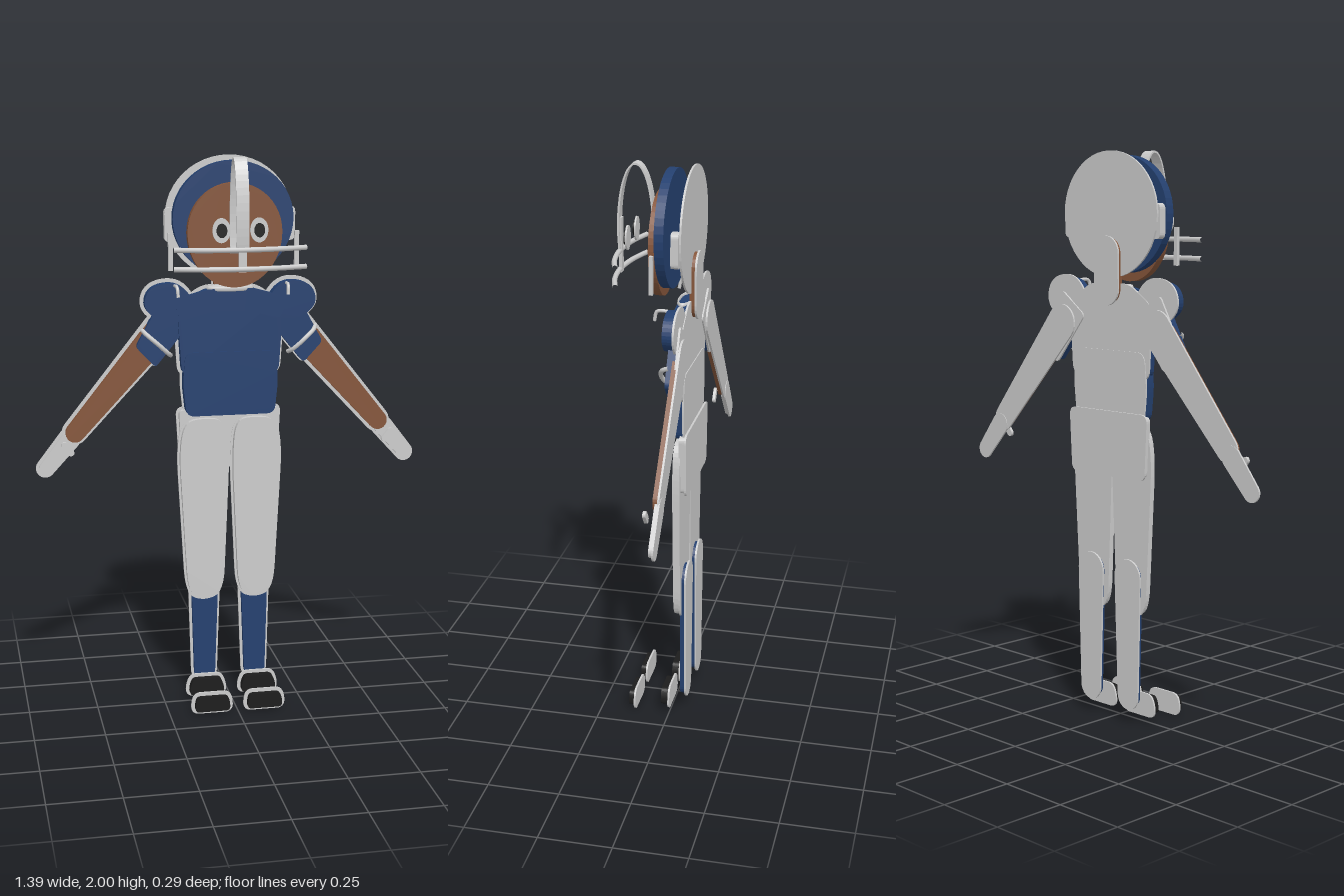
import * as THREE from 'three';

const GREY = 0xcccccc, NAVY = 0x24406f, BROWN = 0x85553a, BLACK = 0x1c1c1c;
const materials = {};
const mat = (c) => (materials[c] ??= new THREE.MeshStandardMaterial({ color: c }));

// Closed outline with corners rounded by r (a large r gives a smooth blob)
function rounded(pts, r) {
  const P = pts.map((p) => new THREE.Vector2(p[0], p[1]));
  if (THREE.ShapeUtils.area(P) < 0) P.reverse();
  const out = [], n = P.length;
  P.forEach((b, i) => {
    const cut = (q) => b.clone().lerp(q, Math.min(0.49, r / b.distanceTo(q)));
    const curve = new THREE.QuadraticBezierCurve(cut(P[(i + n - 1) % n]), b, cut(P[(i + 1) % n]));
    out.push(...curve.getPoints(6));
  });
  return out;
}

// Egg-shaped outline with separate upper and lower radii
function egg(cx, cy, rx, up, down = up) {
  return Array.from({ length: 48 }, (_, i) => {
    const a = (i / 48) * Math.PI * 2, s = Math.sin(a);
    return new THREE.Vector2(cx + rx * Math.cos(a), cy + s * (s > 0 ? up : down));
  });
}

// Tapered capsule outline from (x0,y0) to (x1,y1)
function capsule(x0, y0, r0, x1, y1, r1) {
  const dir = Math.atan2(y1 - y0, x1 - x0), out = [];
  [[x0, y0, r0, Math.PI / 2], [x1, y1, r1, -Math.PI / 2]].forEach(([x, y, r, start]) => {
    for (let i = 0; i <= 12; i++) {
      const a = dir + start + (i / 12) * Math.PI;
      out.push(new THREE.Vector2(x + r * Math.cos(a), y + r * Math.sin(a)));
    }
  });
  return out;
}

// Push an anticlockwise outline outwards
function grow(pts, d) {
  const n = pts.length;
  return pts.map((p, i) => {
    const t = pts[(i + 1) % n].clone().sub(pts[(i + n - 1) % n]).normalize();
    return new THREE.Vector2(p.x + t.y * d, p.y - t.x * d);
  });
}

const sym = (pts) => [...pts, ...pts.map(([x, y]) => [-x, y]).reverse()];

export function createModel() {
  const model = new THREE.Group();

  function add(name, geo, color = GREY) {
    const mesh = new THREE.Mesh(geo, mat(color));
    mesh.name = name;
    model.add(mesh);
    return mesh;
  }
  function slab(name, pts, z0, z1, color) {
    const geo = new THREE.ExtrudeGeometry(new THREE.Shape(pts), { depth: z1 - z0, bevelEnabled: false });
    return add(name, geo.translate(0, 0, z0), color);
  }
  // Coloured slab with a slightly larger grey sheet behind it
  function backed(name, pts, z0, z1, color, margin = 0.012, zBack = z0) {
    slab(name, pts, z0, z1, color);
    slab(name + 'Backing', grow(pts, margin), zBack - 0.007, zBack, GREY);
  }
  function tube(name, points, r, color) {
    const curve = new THREE.CatmullRomCurve3(points.map((p) => new THREE.Vector3(...p)));
    add(name, new THREE.TubeGeometry(curve, 24, r, 8), color);
  }

  // Head, helmet and neck
  backed('helmet', egg(0, 1.785, 0.212, 0.198, 0.205), 0.012, 0.044, NAVY, 0.014, -0.043);
  slab('face', egg(0, 1.74, 0.166, 0.17, 0.19), 0.046, 0.074, BROWN);
  backed('neck', capsule(0, 1.65, 0.053, 0, 1.53, 0.053), -0.062, -0.043, BROWN, 0.006);

  // Raised helmet stripe, an arched strip above the face
  const arch = [];
  for (const [rz, ry, flip] of [[0.064, 0.22, 0], [0.057, 0.213, 1]]) {
    for (let i = 0; i <= 32; i++) {
      const a = THREE.MathUtils.degToRad(-25 + 235 * (flip ? 1 - i / 32 : i / 32));
      arch.push(new THREE.Vector2(0.15 + rz * Math.cos(a), 1.78 + ry * Math.sin(a)));
    }
  }
  const strip = new THREE.ExtrudeGeometry(new THREE.Shape(arch), { depth: 0.044, bevelEnabled: false });
  add('helmetStripe', strip.rotateY(-Math.PI / 2).translate(0.022, 0, 0));

  // Face guard
  for (const y of [1.695, 1.63]) {
    const bar = [-1, -0.55, 0, 0.55, 1].map((t) => [t * 0.228, y, 0.208 - 0.038 * t * t]);
    tube('guardBar', bar, 0.009);
  }
  add('guardCentreBar', new THREE.BoxGeometry(0.026, 0.19, 0.01).translate(0, 1.715, 0.205));

  // Torso
  backed('chest', rounded(sym([[0.09, 1.535], [0.19, 1.47], [0.175, 1.23]]), 0.03), -0.043, -0.012, NAVY);
  slab('yoke', rounded(sym([[0.08, 1.535], [0.205, 1.5], [0.18, 1.42], [0.07, 1.455]]), 0.03), -0.02, -0.003, NAVY);
  backed('belly', rounded(sym([[0.163, 1.31], [0.172, 1.2], [0.16, 1.08]]), 0.03), -0.046, -0.007, NAVY, 0.007);
  backed('pelvis', rounded(sym([[0.183, 1.097], [0.172, 0.885]]), 0.02), -0.056, -0.036, GREY, 0.009);
  const collar = new THREE.TorusGeometry(0.075, 0.009, 8, 40).rotateX(Math.PI / 2).scale(1, 1, 0.32);
  add('collar', collar.translate(0, 1.535, -0.022));

  for (const s of [1, -1]) {
    const m = (pts) => pts.map(([x, y]) => [s * x, y]);
    const side = s > 0 ? 'left' : 'right';

    // Eyes, ear pad, guard post and strap
    slab(side + 'Eye', egg(s * 0.065, 1.757, 0.031, 0.042), 0.163, 0.169, GREY);
    slab(side + 'Pupil', egg(s * 0.065, 1.757, 0.018, 0.024), 0.171, 0.177, BLACK);
    slab(side + 'EarPad', rounded(m([[0.18, 1.82], [0.232, 1.82], [0.232, 1.7], [0.18, 1.7]]), 0.02), -0.042, -0.016, GREY);
    add(side + 'GuardPost', new THREE.BoxGeometry(0.016, 0.13, 0.012).translate(s * 0.222, 1.675, 0.05));
    tube(side + 'Strap', [[s * 0.195, 1.515, 0.045], [s * 0.197, 1.548, 0.035], [s * 0.2, 1.55, -0.015]], 0.006);

    // Shoulder pad and sleeve with its curved band
    const pad = m([[0.13, 1.5], [0.19, 1.565], [0.29, 1.55], [0.315, 1.475], [0.25, 1.42], [0.15, 1.43]]);
    backed(side + 'ShoulderPad', rounded(pad, 0.06), -0.04, -0.004, NAVY, 0.013);
    const sleeve = m([[0.13, 1.43], [0.24, 1.51], [0.337, 1.335], [0.268, 1.26]]);
    backed(side + 'Sleeve', rounded(sleeve, 0.015), -0.048, -0.02, NAVY, 0.005);
    const band = [[0.312, 1.392, -0.03], [0.3, 1.38, -0.006], [0.262, 1.347, 0.007], [0.225, 1.312, -0.006], [0.212, 1.3, -0.03]];
    tube(side + 'SleeveBand', band.map(([x, y, z]) => [s * x, y, z]), 0.008);

    // Arm and hand
    backed(side + 'Arm', capsule(s * 0.235, 1.4, 0.054, s * 0.555, 1.03, 0.034), -0.056, -0.038, BROWN);
    backed(side + 'Hand', capsule(s * 0.575, 1.005, 0.03, s * 0.662, 0.902, 0.024), -0.058, -0.046, GREY, 0.01);
    slab(side + 'Thumb', capsule(s * 0.596, 0.993, 0.012, s * 0.574, 0.966, 0.012), -0.02, -0.009, GREY);

    // Leg
    const thigh = m([[0.09, 1.07], [0.02, 1.06], [0.008, 0.92], [0.03, 0.41], [0.095, 0.385],
      [0.157, 0.41], [0.186, 0.95], [0.165, 1.06]]);
    backed(side + 'Thigh', rounded(thigh, 0.09), -0.034, -0.014, GREY, 0.008);
    backed(side + 'Shin', capsule(s * 0.092, 0.53, 0.052, s * 0.094, 0.1, 0.039), -0.052, -0.035, NAVY, 0.01);

    // Shoe heel and toe
    const heel = m([[0.045, 0.094], [0.148, 0.094], [0.16, 0.06], [0.16, 0.033], [0.033, 0.033], [0.033, 0.06]]);
    const toe = m([[0.04, 0.07], [0.152, 0.07], [0.16, 0.045], [0.16, 0.015], [0.033, 0.015], [0.033, 0.045]]);
    backed(side + 'Shoe', rounded(heel, 0.015), 0.004, 0.031, BLACK, 0.012);
    backed(side + 'ShoeToe', rounded(toe, 0.015), 0.13, 0.15, BLACK, 0.013);
  }

  return model;
}
